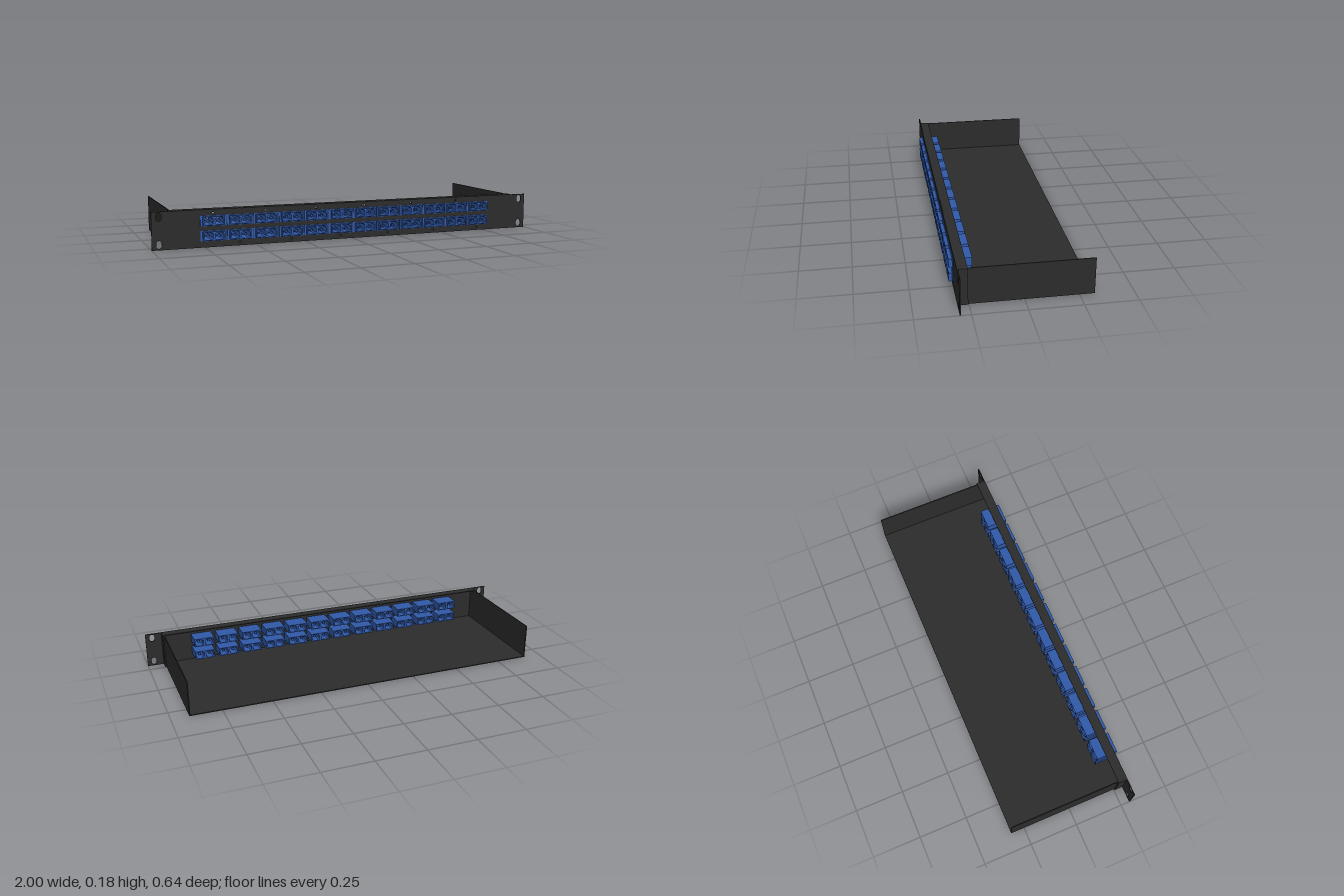
import * as THREE from 'three';

const metal = new THREE.MeshStandardMaterial({ color: 0x2c2c2c });
metal.name = 'dark metal';
const plastic = new THREE.MeshStandardMaterial({ color: 0x3159a9 });
plastic.name = 'blue plastic';

const COLS = 12, PITCH = 0.129, ROWS = [0.055, 0.1265];
const T = 0.005; // sheet thickness
const colX = (i) => (i - (COLS - 1) / 2) * PITCH;

function addPoly(target, pts) {
  target.setFromPoints(pts.map(([x, y]) => new THREE.Vector2(x, y)));
  return target;
}
function rect(target, cx, cy, w, h) {
  return addPoly(target, [[cx - w / 2, cy - h / 2], [cx + w / 2, cy - h / 2],
    [cx + w / 2, cy + h / 2], [cx - w / 2, cy + h / 2]]);
}
function circle(cx, cy, r) {
  return new THREE.Path().absarc(cx, cy, r, 0, Math.PI * 2, true);
}
// Upright slot with round ends
function slot(cx, cy, r, half) {
  const p = new THREE.Path();
  p.absarc(cx, cy + half, r, 0, Math.PI, false);
  p.absarc(cx, cy - half, r, Math.PI, Math.PI * 2, false);
  p.closePath();
  return p;
}
// Connector opening with chamfered lower corners and a stepped top
function portHole(cx) {
  const w = 0.021, h = 0.018, c = 0.006;
  return addPoly(new THREE.Path(), [[-w, -h + c], [-w + c, -h], [w - c, -h], [w, -h + c],
    [w, h - c], [w - c, h - c], [w - c, h], [-w + c, h], [-w + c, h - c], [-w, h - c],
    [-w, -h + c]].map(([x, y]) => [cx + x, y]));
}
function extrude(shape, z0, z1) {
  const g = new THREE.ExtrudeGeometry(shape, { depth: z1 - z0, bevelEnabled: false, curveSegments: 8 });
  return g.translate(0, 0, z0);
}
function mesh(name, geometry, material) {
  const m = new THREE.Mesh(geometry, material);
  m.name = name;
  return m;
}
// Box from its limits
function box(name, x0, x1, y0, y1, z0, z1) {
  const g = new THREE.BoxGeometry(x1 - x0, y1 - y0, z1 - z0);
  g.translate((x0 + x1) / 2, (y0 + y1) / 2, (z0 + z1) / 2);
  return mesh(name, g, metal);
}

// Front plate with rack slots, adapter cutouts and screw holes
function frontPanel() {
  const s = rect(new THREE.Shape(), 0, 0.09, 2, 0.18);
  for (const x of [-0.966, 0.966])
    for (const y of [0.025, 0.156]) s.holes.push(slot(x, y, 0.013, 0.006));
  for (let i = 0; i < COLS; i++) {
    for (const y of ROWS) s.holes.push(rect(new THREE.Path(), colX(i), y, 0.104, 0.042));
    s.holes.push(circle(colX(i), i % 2 ? 0.018 : 0.163, 0.005));
  }
  return mesh('frontPanel', extrude(s, 0.296, 0.301), metal);
}

// Duplex adapter parts, shared by every position
function adapterParts() {
  const withPorts = (w, h) => {
    const s = rect(new THREE.Shape(), 0, 0, w, h);
    for (const x of [-0.026, 0.026]) s.holes.push(portHole(x));
    return s;
  };
  const sleeve = new THREE.Shape().absarc(0, 0, 0.008, 0, Math.PI * 2, false);
  sleeve.holes.push(circle(0, 0, 0.006));
  return {
    body: extrude(withPorts(0.105, 0.043), 0.213, 0.321),
    flange: extrude(withPorts(0.125, 0.05), 0.301, 0.305),
    sleeve: extrude(sleeve, 0.235, 0.305),
  };
}

export function createModel() {
  const model = new THREE.Group();
  model.name = 'rackPatchPanel';
  model.add(frontPanel());

  // Open tray
  model.add(box('trayFloor', -0.91, 0.91, 0, T, -0.32, 0.296));
  for (const [side, s] of [['left', 1], ['right', -1]]) {
    const span = (a, b) => [Math.min(s * a, s * b), Math.max(s * a, s * b)];
    model.add(box(side + 'TrayWall', ...span(0.906, 0.911), 0, 0.18, -0.32, 0.296));
    model.add(box(side + 'PanelFlange', ...span(0.911, 0.917), 0, 0.18, 0.253, 0.296));
  }
  model.add(box('topLip', -0.917, 0.917, 0.176, 0.1805, 0.253, 0.297));

  // Two rows of adapters
  const parts = adapterParts();
  ROWS.forEach((y, r) => {
    for (let i = 0; i < COLS; i++) {
      const a = new THREE.Group();
      a.name = `adapter_${r + 1}_${i + 1}`;
      a.position.set(colX(i), y, 0);
      a.add(mesh('adapterBody', parts.body, plastic), mesh('adapterFlange', parts.flange, plastic));
      for (const x of [-0.026, 0.026]) {
        const m = mesh('ferruleSleeve', parts.sleeve, plastic);
        m.position.x = x;
        a.add(m);
      }
      model.add(a);
    }
  });
  return model;
}
